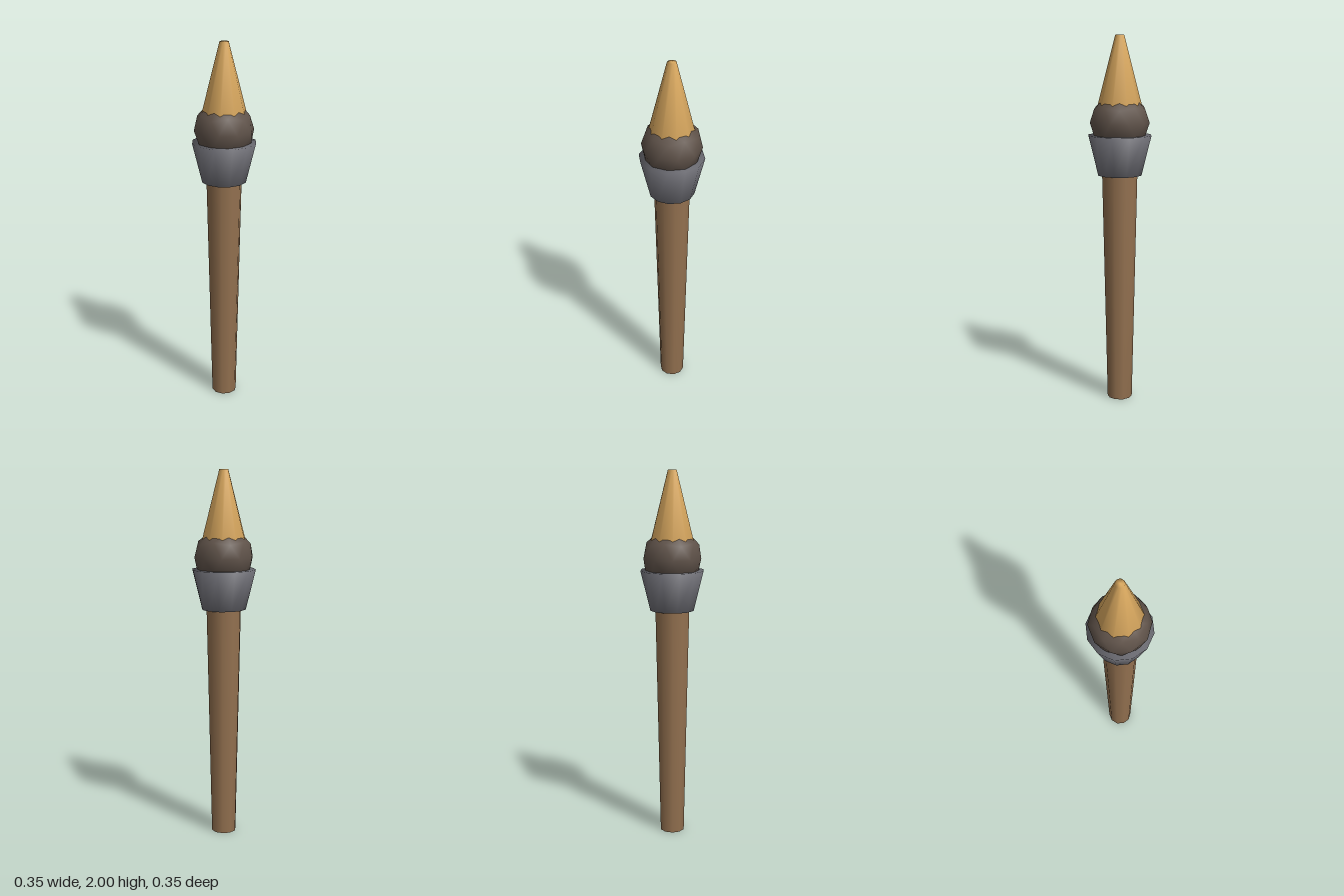
import * as THREE from 'three';
import { mergeVertices } from 'three/addons/utils/BufferGeometryUtils.js';

const material = (name, color) => {
  const m = new THREE.MeshStandardMaterial({ color });
  m.name = name;
  return m;
};

// Weld all corners so shading runs softly over the rims
function soften(geometry) {
  geometry.deleteAttribute('uv');
  geometry.deleteAttribute('normal');
  const welded = mergeVertices(geometry, 1e-4);
  welded.computeVertexNormals();
  return welded;
}

// Closed tapered cylinder standing between two heights
function taper(rBottom, rTop, yBottom, yTop, sides) {
  const g = new THREE.CylinderGeometry(rTop, rBottom, yTop - yBottom, sides);
  g.translate(0, (yBottom + yTop) / 2, 0);
  return soften(g);
}

export function createModel() {
  const model = new THREE.Group();
  model.name = 'torch';

  const add = (name, geometry, mat) => {
    const mesh = new THREE.Mesh(geometry, mat);
    mesh.name = name;
    model.add(mesh);
  };

  // Wooden handle, its top end hidden in the cup
  add('handle', taper(0.068, 0.098, 0, 1.4, 10), material('wood', 0x92704f));

  // Flared metal cup
  add('cup', taper(0.12, 0.173, 1.26, 1.475, 12), material('metal', 0x6e6e75));

  // Faceted wrapping ball with a corner pointing straight up
  const ball = new THREE.IcosahedronGeometry(0.16, 1);
  ball.rotateZ(-Math.atan(2 / (1 + Math.sqrt(5))));
  ball.translate(0, 1.54, 0);
  add('wrapping', soften(ball), material('charred cloth', 0x60534a));

  // Blunt flame cone sunk into the ball
  add('flame', taper(0.132, 0.024, 1.58, 2, 10), material('flame gold', 0xdfad62));

  return model;
}
